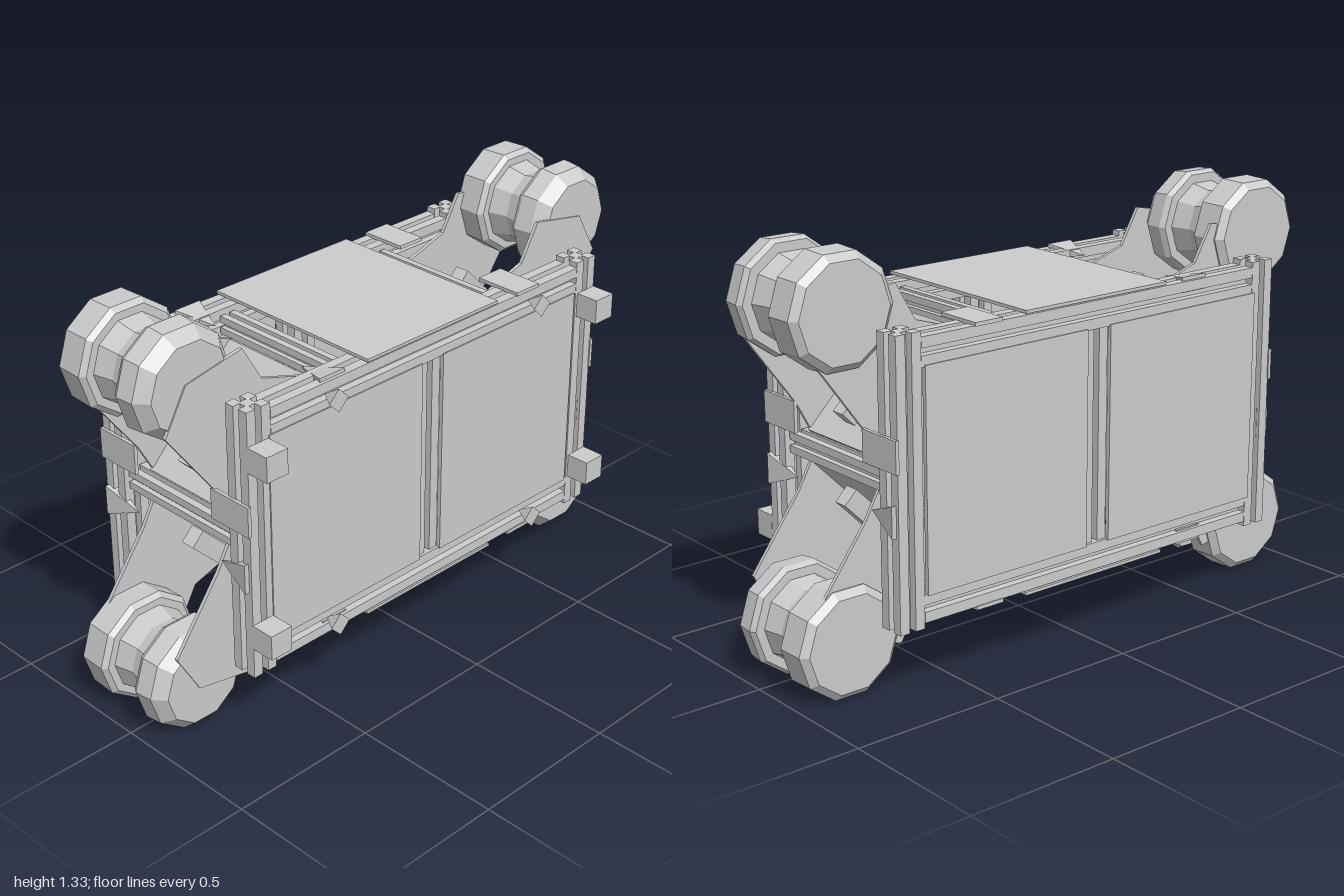
import * as THREE from 'three';

const MID_Y = 0.685, MID_X = -0.04;
const mat = new THREE.MeshStandardMaterial({ color: 0xcccccc, flatShading: true, side: THREE.DoubleSide });

function add(parent, name, geo, x = 0, y = 0, z = 0) {
  const m = new THREE.Mesh(geo, mat);
  m.name = name;
  m.position.set(x, y, z);
  parent.add(m);
  return m;
}
const box = (w, h, d) => new THREE.BoxGeometry(w, h, d);

// Slotted square rail running along z, centred on the origin
function railGeometry(length, h = 0.044, s = 0.011, d = 0.026) {
  const pts = [];
  for (let k = 0; k < 4; k++) {
    const side = [[-h, -h], [-s, -h], [-s, -h + d], [s, -h + d], [s, -h]];
    for (const [x, y] of side) pts.push(new THREE.Vector2(x, y).rotateAround(new THREE.Vector2(), k * Math.PI / 2));
  }
  const g = new THREE.ExtrudeGeometry(new THREE.Shape(pts), { depth: length, bevelEnabled: false });
  return g.translate(0, 0, -length / 2);
}

// Faceted solid of revolution around x, from [x, radius] pairs
function turned(profile, sides) {
  const pts = profile.map(([x, r]) => new THREE.Vector2(r, x));
  return new THREE.LatheGeometry(pts, sides).rotateZ(-Math.PI / 2);
}

// Thin plate in the yz plane, from [z, y] outline
function sidePlate(outline, t) {
  const s = new THREE.Shape(outline.map(([z, y]) => new THREE.Vector2(z, y)));
  return new THREE.ExtrudeGeometry(s, { depth: t, bevelEnabled: false }).rotateY(-Math.PI / 2).translate(t / 2, 0, 0);
}

// Twin roller with its fork and diagonal mount, for the top front corner (y measured from mid height)
function cornerUnit() {
  const g = new THREE.Group();
  const wy = 0.495, wz = 0.82;
  add(g, 'outerWheel', turned([[-0.235, 0], [-0.235, 0.155], [-0.215, 0.178], [-0.125, 0.181], [-0.11, 0.165], [-0.11, 0]], 10), 0, wy, wz);
  add(g, 'innerWheel', turned([[0.022, 0], [0.022, 0.17], [0.04, 0.181], [0.10, 0.175], [0.14, 0.14], [0.14, 0]], 10), 0, wy, wz);
  add(g, 'wheelHub', turned([[-0.11, 0.14], [-0.045, 0.125], [0.022, 0.14]], 10), 0, wy, wz);
  const arm = [[0.70, 0.05], [0.75, 0.14], [0.92, 0.37], [0.84, 0.51], [0.63, 0.55], [0.56, 0.43], [0.37, 0.37]];
  for (const x of [-0.205, 0.138]) add(g, 'forkArm', sidePlate(arm, 0.012), x);
  const mount = add(g, 'mountPlate', box(0.345, 0.012, 0.46), -0.035, 0.205, 0.54);
  mount.rotation.x = Math.PI / 4;
  const strut = add(g, 'mountRib', box(0.05, 0.06, 0.34), -0.035, 0.24, 0.575);
  strut.rotation.x = Math.PI / 4;
  return g;
}

// Four-sided gusset pyramid reaching inward along x
function gusset(dir) {
  const g = new THREE.ConeGeometry(0.07, 0.13, 4).rotateY(Math.PI / 4);
  return g.rotateZ(dir * Math.PI / 2).scale(1, 1, 0.5);
}

export function createModel() {
  const root = new THREE.Group();
  const frame = new THREE.Group();
  frame.name = 'frame';
  root.add(frame);

  for (const sx of [-1, 1]) {
    const rx = MID_X + sx * 0.284;
    // Slotted posts and long rails
    for (const sz of [-1, 1]) {
      add(frame, 'cornerPost', railGeometry(0.89).rotateX(Math.PI / 2), rx, MID_Y, sz * 0.705);
      add(frame, 'longRail', railGeometry(1.32), rx, MID_Y + sz * 0.384, 0);
    }
    add(frame, 'middlePost', railGeometry(0.68).rotateX(Math.PI / 2), rx - sx * 0.01, MID_Y, 0.005);

    // Side panels either side of the middle post
    add(root, 'sidePanel', box(0.014, 0.69, 0.62), MID_X + sx * 0.325, MID_Y, 0.36);
    add(root, 'sidePanel', box(0.014, 0.69, 0.61), MID_X + sx * 0.325, MID_Y, -0.345);

    // Joining brackets and gussets on every open face
    const bx = MID_X + sx * 0.252;
    for (const s of [-1, 1]) {
      add(frame, 'endBracket', box(0.16, 0.1, 0.012), bx, 0.78, s * 0.752);
      add(frame, 'endGusset', gusset(sx), bx, 0.585, s * 0.74);
      add(frame, 'railBracket', box(0.16, 0.012, 0.1), bx, MID_Y + s * 0.432, -0.42);
      add(frame, 'railGusset', gusset(sx).rotateX(Math.PI / 2), bx, MID_Y + s * 0.415, 0.41);
    }
  }

  for (const s of [-1, 1]) {
    // Cover plates above and below
    add(root, 'coverPlate', box(0.66, 0.01, 0.56), MID_X, MID_Y + s * 0.437, 0);

    // Cross bars carrying the corner mounts
    add(frame, 'endCrossBar', railGeometry(0.46, 0.033, 0.009, 0.018).rotateY(Math.PI / 2), MID_X, MID_Y, s * 0.705);
    for (const sy of [-1, 1])
      add(frame, 'railCrossBar', railGeometry(0.46, 0.03, 0.008, 0.016).rotateY(Math.PI / 2), MID_X, MID_Y + sy * 0.385, s * 0.325);

    // Side feet and small pegs
    for (const y of [0.385, 0.98]) add(root, 'sideFoot', box(0.08, 0.082, 0.08), 0.328, y, s * 0.71);
    add(root, 'sidePeg', new THREE.ConeGeometry(0.038, 0.06, 4).rotateZ(Math.PI / 2), 0.305, 1.07, s * 0.44);
    add(root, 'sidePeg', new THREE.ConeGeometry(0.038, 0.06, 4).rotateZ(Math.PI / 2), 0.305, 0.305, s * 0.44);

    // Rollers at the four corners, mirrored about mid height and z
    for (const sy of [-1, 1]) {
      const c = cornerUnit();
      c.name = (sy > 0 ? 'upper' : 'lower') + (s > 0 ? 'Front' : 'Back') + 'Roller';
      c.position.y = MID_Y;
      c.scale.set(1, sy, s);
      root.add(c);
    }
  }
  return root;
}
